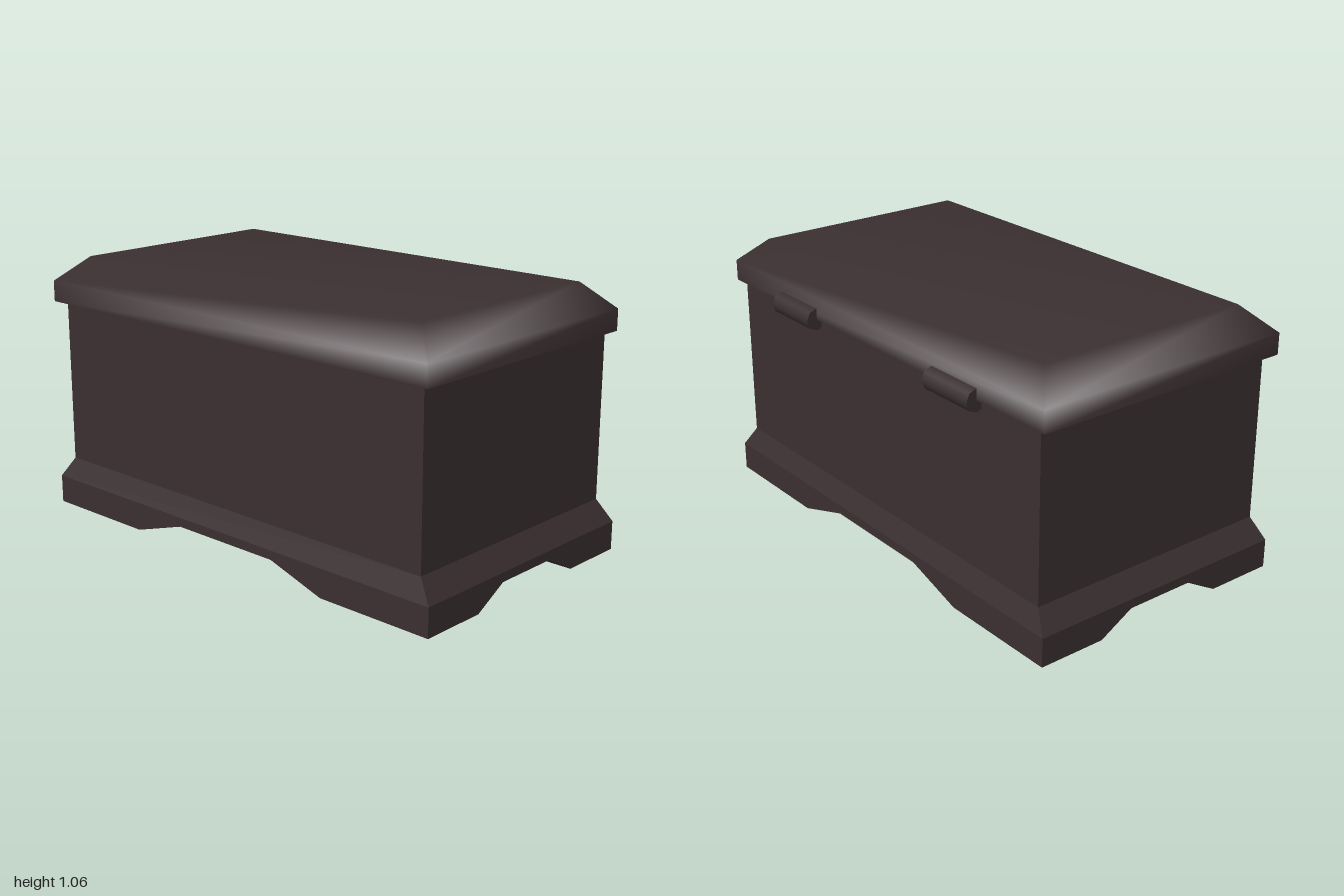
import * as THREE from 'three';

const wood = new THREE.MeshStandardMaterial({ color: 0x3a2f31 });
wood.name = 'darkWood';

function geometry(positions, index) {
  const g = new THREE.BufferGeometry();
  g.setAttribute('position', new THREE.Float32BufferAttribute(positions, 3));
  if (index) g.setIndex(index);
  return g;
}

// Skin through rectangular rings [y, halfX, halfZ, centreZ]; the last ring can be capped
function loft(rings, capTop, smooth) {
  const pos = [], idx = [];
  for (const [y, hx, hz, cz] of rings) {
    pos.push(-hx, y, cz + hz, hx, y, cz + hz, hx, y, cz - hz, -hx, y, cz - hz);
  }
  for (let r = 0; r < rings.length - 1; r++) {
    for (let i = 0; i < 4; i++) {
      const a = r * 4 + i, b = r * 4 + (i + 1) % 4;
      idx.push(a, b, b + 4, a, b + 4, a + 4);
    }
  }
  if (capTop) {
    const t = (rings.length - 1) * 4;
    idx.push(t, t + 1, t + 2, t, t + 2, t + 3);
  }
  let g = geometry(pos, idx);
  if (!smooth) g = g.toNonIndexed();
  g.computeVertexNormals();
  return g;
}

// Plinth: straight outer walls and an underside cut by two crossing arches
function plinthGeometry() {
  const cz = 0.015, top = 0.115, arch = 0.078;
  const xs = [-1, -0.5, -0.25, 0.25, 0.5, 1];
  const zs = [-0.56, -0.283, -0.143, 0.143, 0.283, 0.56];
  const rise = [0, 0, arch, arch, 0, 0];
  const pos = [];
  const quad = (a, b, c, d) => pos.push(...a, ...b, ...c, ...a, ...c, ...d);
  const under = (i, j) => [xs[i], Math.max(rise[i], rise[j]), zs[j] + cz];
  const rim = (i, j) => [xs[i], top, zs[j] + cz];
  for (let i = 0; i < 5; i++) {
    quad(under(i, 5), under(i + 1, 5), rim(i + 1, 5), rim(i, 5));
    quad(under(i + 1, 0), under(i, 0), rim(i, 0), rim(i + 1, 0));
    quad(under(5, i + 1), under(5, i), rim(5, i), rim(5, i + 1));
    quad(under(0, i), under(0, i + 1), rim(0, i + 1), rim(0, i));
    for (let j = 0; j < 5; j++) {
      const a = under(i, j), b = under(i + 1, j), c = under(i + 1, j + 1), d = under(i, j + 1);
      // split along the diagonal that forms the hip between arches
      if ((i < 2) === (j < 2)) quad(a, b, c, d);
      else quad(b, c, d, a);
    }
  }
  const g = geometry(pos);
  g.computeVertexNormals();
  return g;
}

export function createModel() {
  const model = new THREE.Group();
  model.name = 'chest';
  const add = (name, geo) => {
    const mesh = new THREE.Mesh(geo, wood);
    mesh.name = name;
    model.add(mesh);
    return mesh;
  };

  add('plinth', plinthGeometry());
  add('plinthBevel', loft([[0.115, 1, 0.56, 0.015], [0.2, 0.94, 0.53, 0.015]]));
  add('body', loft([[0.2, 0.94, 0.53, 0.015], [0.872, 0.94, 0.53, 0.015]], true));

  // Lid with softly shaded bevels and a flat underside
  add('lid', loft([
    [0.87, 0.98, 0.558, 0.0225],
    [0.955, 0.98, 0.558, 0.0225],
    [1.056, 0.867, 0.458, 0.0175],
  ], true, true));
  const underside = add('lidUnderside', new THREE.PlaneGeometry(1.96, 1.116));
  underside.rotation.x = Math.PI / 2;
  underside.position.set(0, 0.87, 0.0225);

  // Hinge barrels across the back seam
  for (const [side, name] of [[1, 'leftHinge'], [-1, 'rightHinge']]) {
    const hinge = add(name, new THREE.CylinderGeometry(0.045, 0.045, 0.256, 8));
    hinge.rotation.z = Math.PI / 2;
    hinge.position.set(side * 0.5, 0.87, -0.535);
  }
  return model;
}
